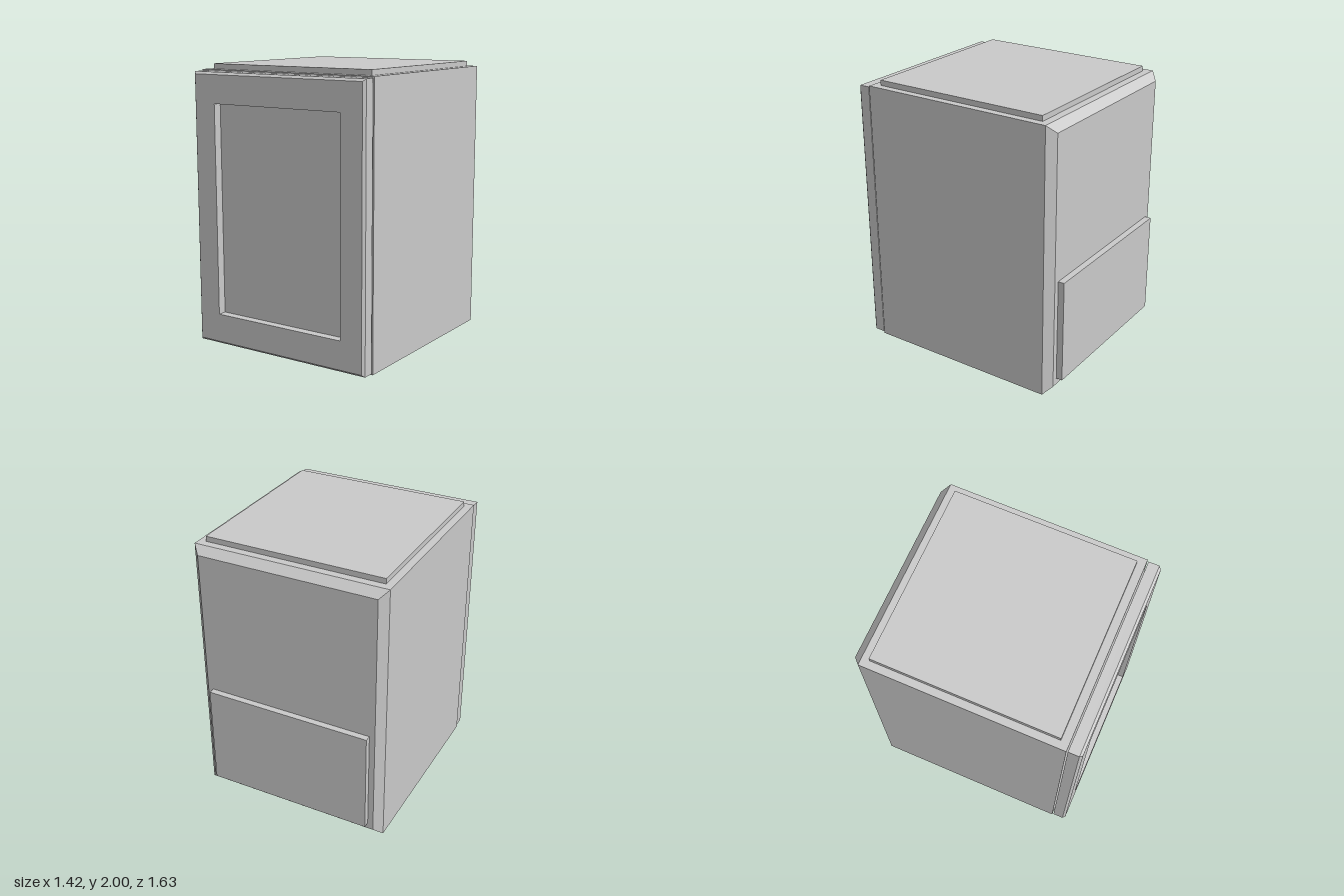
import * as THREE from 'three';

const material = new THREE.MeshStandardMaterial({ color: 0xcccccc, flatShading: true });

// Skins a chain of rectangles [halfWidth, yBottom, yTop, z] and caps both ends.
function loftRects(sections) {
  const rings = sections.map(([w, y0, y1, z]) => [[-w, y0, z], [w, y0, z], [w, y1, z], [-w, y1, z]]);
  const positions = [];
  const quad = (a, b, c, d) => positions.push(...a, ...b, ...c, ...a, ...c, ...d);
  for (let i = 0; i < rings.length - 1; i++) {
    const a = rings[i], b = rings[i + 1];
    for (let k = 0; k < 4; k++) {
      const n = (k + 1) % 4;
      quad(a[k], a[n], b[n], b[k]);
    }
  }
  const [p, q, r, s] = rings[0];
  quad(s, r, q, p);
  quad(...rings[rings.length - 1]);
  const geometry = new THREE.BufferGeometry();
  geometry.setAttribute('position', new THREE.Float32BufferAttribute(positions, 3));
  geometry.computeVertexNormals();
  return geometry;
}

export function createModel() {
  const group = new THREE.Group();
  const add = (name, geometry) => {
    const mesh = new THREE.Mesh(geometry, material);
    mesh.name = name;
    group.add(mesh);
    return mesh;
  };

  // Cabinet with bevelled back edges
  add('cabinet', loftRects([
    [0.657, 0.055, 1.907, -0.772],
    [0.712, 0, 1.962, -0.717],
    [0.712, 0, 1.962, 0.713],
  ]));

  // Door with bevelled front edges and a sunken panel, set off by a thin gap
  add('door', loftRects([
    [0.707, 0.01, 1.952, 0.722],
    [0.707, 0.01, 1.952, 0.799],
    [0.69, 0.027, 1.935, 0.817],
    [0.521, 0.23, 1.735, 0.817],
    [0.521, 0.23, 1.735, 0.755],
  ]));

  // Raised top slab
  add('topSlab', new THREE.BoxGeometry(1.316, 0.038, 1.316)).position.set(0, 1.981, -0.003);

  // Lower cover on the back
  add('backCover', new THREE.BoxGeometry(1.232, 0.757, 0.047)).position.set(0, 0.48, -0.7945);

  return group;
}
